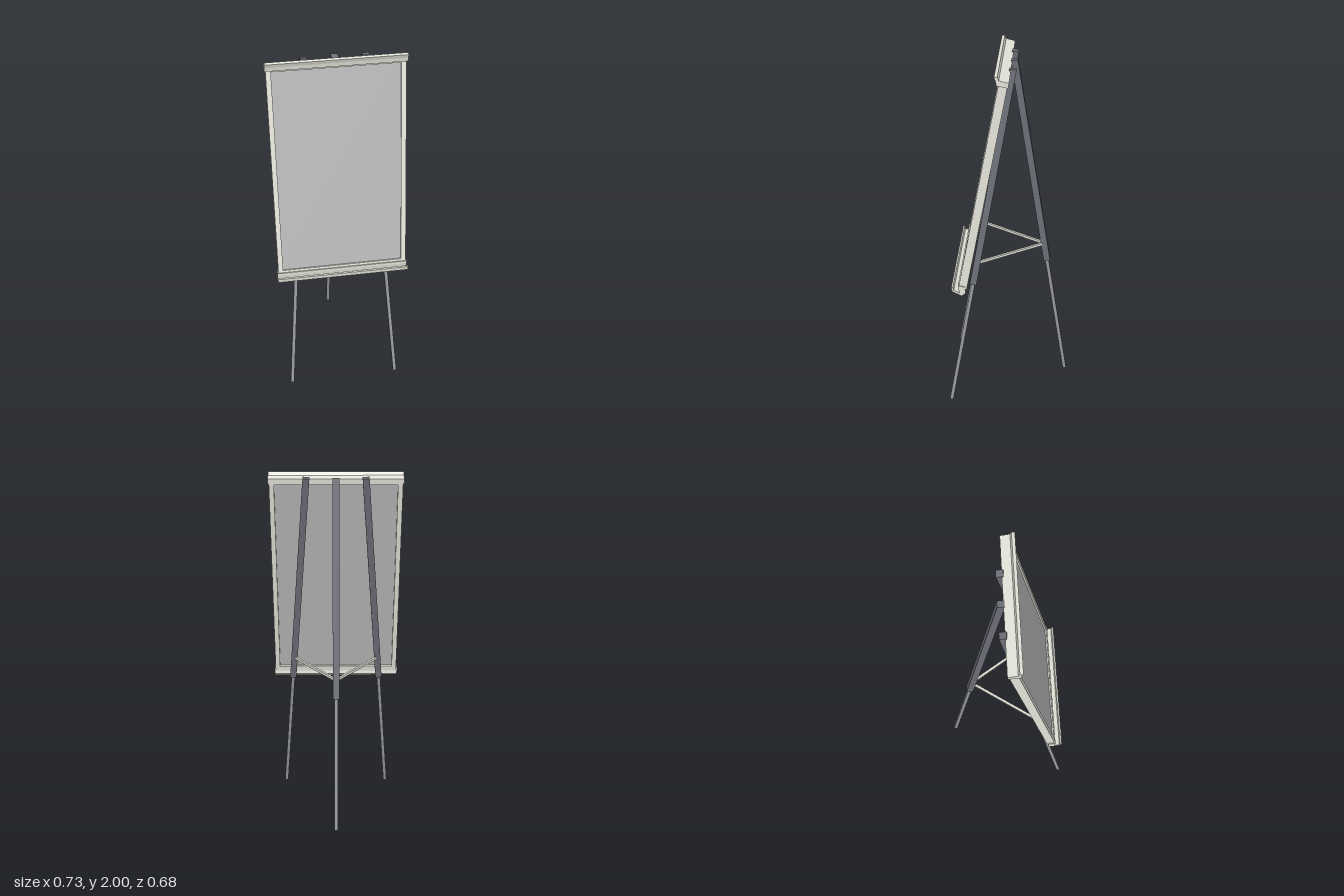
import * as THREE from 'three';

const material = (color) => new THREE.MeshStandardMaterial({ color });
const V = (x, y, z) => new THREE.Vector3(x, y, z);

// Square bar between two points, its sides kept square to the x axis
function bar(name, a, b, width, mat) {
  const mesh = new THREE.Mesh(new THREE.BoxGeometry(width, a.distanceTo(b), width), mat);
  const up = b.clone().sub(a).normalize();
  const side = V(1, 0, 0).addScaledVector(up, -up.x).normalize();
  const front = side.clone().cross(up);
  mesh.quaternion.setFromRotationMatrix(new THREE.Matrix4().makeBasis(side, up, front));
  mesh.position.copy(a).lerp(b, 0.5);
  mesh.name = name;
  return mesh;
}

// Rail along x with a cross-section given as [z, y] points
function rail(name, points, length, mat) {
  const shape = new THREE.Shape(points.map(([z, y]) => new THREE.Vector2(z, y)));
  const geo = new THREE.ExtrudeGeometry(shape, { depth: length, bevelEnabled: false });
  geo.translate(0, 0, -length / 2).rotateY(-Math.PI / 2);
  const mesh = new THREE.Mesh(geo, mat);
  mesh.name = name;
  return mesh;
}

export function createModel() {
  const model = new THREE.Group();
  model.name = 'flipChartEasel';
  const light = material(0xe4e4da);
  const panelGrey = material(0xb8b8b8);
  const legDark = material(0x6c6e76);
  const legLight = material(0x96979c);

  // Tilted board: frame with an opening, and a recessed panel
  const board = new THREE.Group();
  board.name = 'board';
  board.position.set(0, 1.375, 0.132);
  board.rotation.x = -0.192;
  const rect = (x0, y0, x1, y1) => [[x0, y0], [x1, y0], [x1, y1], [x0, y1]].map(([x, y]) => new THREE.Vector2(x, y));
  const outline = new THREE.Shape(rect(-0.36, -0.595, 0.36, 0.595));
  outline.holes.push(new THREE.Path(rect(-0.333, -0.565, 0.333, 0.575)));
  const frameGeo = new THREE.ExtrudeGeometry(outline, { depth: 0.046, bevelEnabled: false });
  frameGeo.translate(0, 0, -0.023);
  const frame = new THREE.Mesh(frameGeo, light);
  frame.name = 'frame';
  const panel = new THREE.Mesh(new THREE.BoxGeometry(0.668, 1.142, 0.022), panelGrey);
  panel.name = 'writingPanel';
  panel.position.set(0, 0.005, 0.004);
  board.add(frame, panel);
  model.add(board);

  // Paper clamp along the top, with a raised front lip
  model.add(rail('paperClamp', [
    [-0.006, 1.942], [0.052, 1.953], [0.056, 1.975], [0.064, 1.996],
    [0.047, 2.0], [0.04, 1.98], [-0.01, 1.968],
  ], 0.732, light));

  // Pen tray along the bottom, open upwards
  model.add(rail('penTray', [
    [0.228, 0.765], [0.25, 0.748], [0.303, 0.775], [0.307, 0.8], [0.298, 0.802],
    [0.293, 0.783], [0.262, 0.768], [0.27, 0.812], [0.232, 0.805],
  ], 0.732, light));

  // Front legs: thick upper tube and thin telescopic lower tube
  for (const s of [-1, 1]) {
    const side = s > 0 ? 'left' : 'right';
    const top = V(s * 0.16, 1.975, -0.021);
    const foot = V(s * 0.313, 0.004, 0.332);
    const joint = top.clone().lerp(foot, 0.615);
    model.add(bar(side + 'FrontUpperLeg', joint, top, 0.037, legDark));
    model.add(bar(side + 'FrontLowerLeg', foot, top.clone().lerp(foot, 0.58), 0.02, legLight));
    // Thin brace to the rear leg
    model.add(bar(side + 'Brace', V(s * 0.243, 0.89, 0.17), V(s * 0.005, 0.89, -0.19), 0.014, light));
  }

  // Rear leg
  const rearTop = V(0, 1.975, -0.022);
  const rearFoot = V(0, 0.024, -0.333);
  model.add(bar('rearUpperLeg', rearTop.clone().lerp(rearFoot, 0.61), rearTop, 0.037, legDark));
  model.add(bar('rearLowerLeg', rearFoot, rearTop.clone().lerp(rearFoot, 0.58), 0.02, legLight));

  return model;
}
